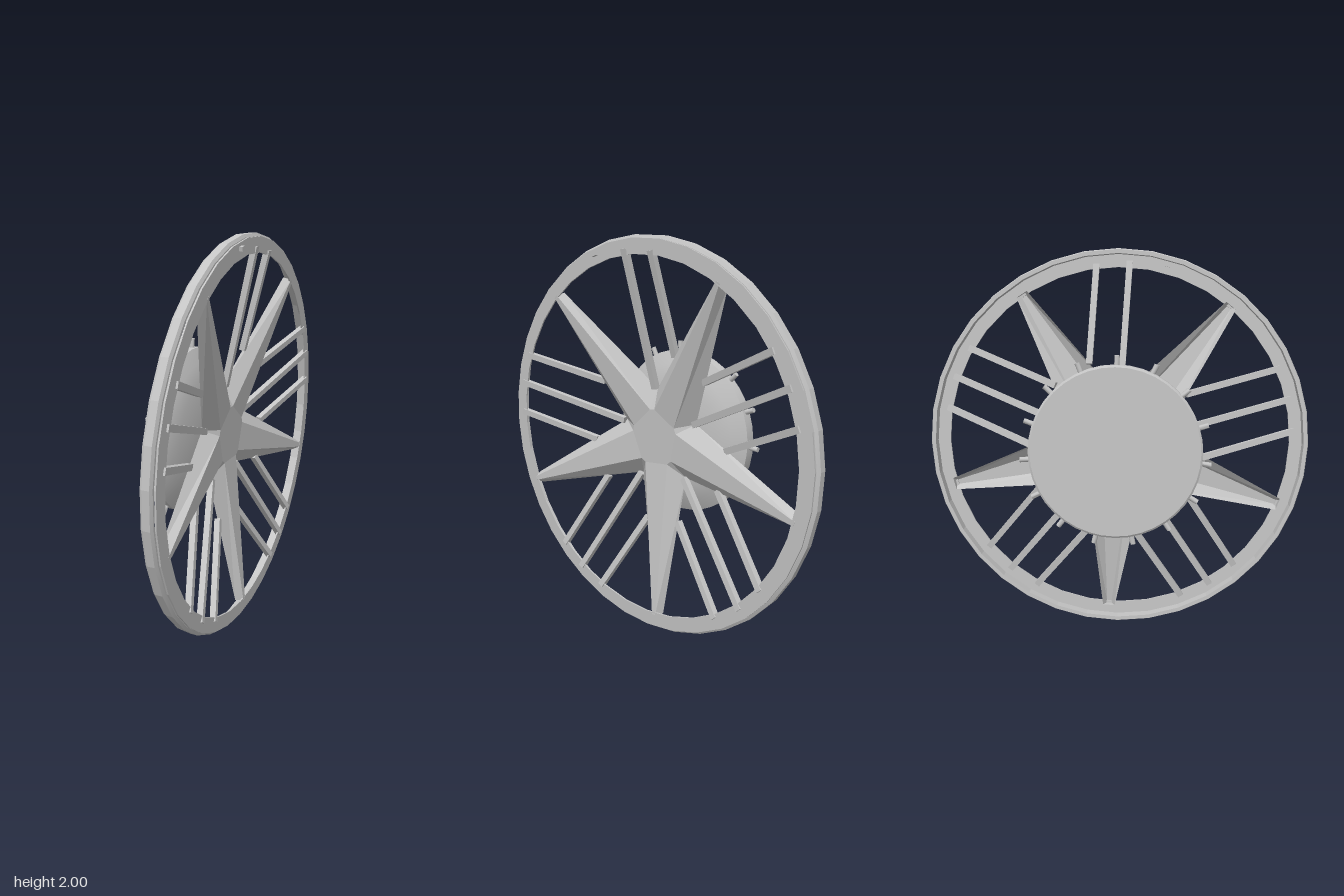
import * as THREE from 'three';
import { toCreasedNormals } from 'three/addons/utils/BufferGeometryUtils.js';

const DEG = Math.PI / 180;

// Wheel coordinates: angle from up towards -z, radius, and offset along the axle
const at = (deg, r, u) => new THREE.Vector3(u, r * Math.cos(deg * DEG), -r * Math.sin(deg * DEG));

// Lathe around the axle (x); profile is [radius, axle offset]
function ring(profile, segments, crease) {
  const pts = profile.map(([r, u]) => new THREE.Vector2(r, u));
  const g = new THREE.LatheGeometry(pts, segments);
  g.rotateZ(-Math.PI / 2);
  return toCreasedNormals(g, crease);
}

// Bar with a rectangular section between two points, kept square to the wheel plane
function bar(a, b, width, depth) {
  const dir = b.clone().sub(a);
  const g = new THREE.BoxGeometry(depth, dir.length(), width);
  const y = dir.clone().normalize();
  const z = new THREE.Vector3(1, 0, 0).cross(y).normalize();
  const x = y.clone().cross(z);
  const m = new THREE.Matrix4().makeBasis(x, y, z);
  m.setPosition(a.clone().add(b).multiplyScalar(0.5));
  return g.applyMatrix4(m);
}

// Flat-shaded shell from quads of points
function shell(quads) {
  const pts = [];
  for (const [a, b, c, d] of quads) pts.push(a, b, c, a, c, d);
  const g = new THREE.BufferGeometry().setFromPoints(pts);
  g.computeVertexNormals();
  return g;
}

export function createModel() {
  const metal = new THREE.MeshStandardMaterial({ color: 0xc4c4c4, side: THREE.DoubleSide });
  metal.name = 'light grey metal';

  const model = new THREE.Group();
  model.name = 'wheel';
  const wheel = new THREE.Group();
  wheel.name = 'tiltedWheel';
  wheel.position.set(0.125, 1, 0);
  wheel.rotation.set(0, -0.02, -0.048);
  model.add(wheel);

  const add = (name, geometry) => {
    const mesh = new THREE.Mesh(geometry, metal);
    mesh.name = name;
    wheel.add(mesh);
  };

  // Outer hoop, and the flat ring standing just in front of it
  add('outerHoop', ring([[0.975, -0.032], [0.995, -0.032], [1, -0.022], [1, 0.012], [0.985, 0.02], [0.975, 0.02], [0.975, -0.032]], 36, 0.1));
  add('innerRing', ring([[0.91, 0.026], [0.985, 0.026], [0.985, 0.034], [0.91, 0.034], [0.91, 0.026]], 36, 0.1));

  // Five-armed star: flat pentagon hub, each arm a hollow tapering channel
  const hub = [];
  for (let k = 0; k < 5; k++) {
    const tip = 33 + 72 * k, v0 = tip - 36, v1 = tip + 36;
    const p0 = at(v0, 0.16, -0.07), p1 = at(v1, 0.16, -0.07);
    const b0 = at(v0, 0.25, -0.125), b1 = at(v1, 0.25, -0.125);
    const t0 = at(tip - 0.7, 0.92, 0.035), t1 = at(tip + 0.7, 0.92, 0.035);
    const e0 = at(tip - 2, 0.92, -0.005), e1 = at(tip + 2, 0.92, -0.005);
    // the ridge edges sit slightly inside the hub corners
    const q0 = p0.clone().lerp(p1, 0.1), q1 = p1.clone().lerp(p0, 0.1);
    hub.push(q0, q1);
    add('starArm', shell([
      [q0, t0, t1, q1],
      [b0, e0, t0, q0],
      [q1, t1, e1, b1],
      [t0, e0, e1, t1],
    ]));
  }
  const centre = at(0, 0, -0.07);
  const hubFaces = [], corners = [];
  for (let i = 0; i < 10; i += 2) {
    hubFaces.push([centre, hub[i], hub[i + 1], hub[(i + 2) % 10]]);
    const valley = at(69 + 36 * i, 0.25, -0.125);
    corners.push([hub[i + 1], valley, valley, hub[(i + 2) % 10]]);
  }
  add('starHub', shell(hubFaces));
  add('starCorners', shell(corners));

  // Three parallel spokes in each gap; one is missing next to the top
  for (let k = 0; k < 5; k++) {
    const a = 72 * k - 3.5;
    const side = at(a + 90, 1, 0);
    for (const s of [-1, 0, 1]) {
      if (k === 0 && s === -1) continue;
      const start = at(a, s ? 0.41 : 0.25, s ? -0.088 : -0.11).addScaledVector(side, s * 0.17);
      const end = at(a, s ? 0.915 : 0.94, 0.028).addScaledVector(side, s * 0.17);
      add('spoke', bar(start, end, 0.032, 0.03));
    }
  }
  // Stub left where the missing spoke met the ring
  add('spokeStub', bar(at(-15.3, 0.945, 0.035), at(-15.3, 0.965, 0.035), 0.03, 0.03));

  // Domed drum behind the star
  add('drum', ring([[0, -0.335], [0.42, -0.335], [0.43, -0.328], [0.43, -0.278],
    [0.36, -0.245], [0.28, -0.22], [0, -0.217]], 40, 0.6));

  // Fifteen bolts around the drum
  for (let i = 0; i < 15; i++) {
    const bolt = new THREE.CylinderGeometry(0.013, 0.013, 0.06, 8);
    bolt.translate(0, 0.445, 0);
    bolt.rotateX(-(24 * i - 1) * DEG);
    bolt.translate(-0.305, 0, 0);
    add('bolt', toCreasedNormals(bolt, 0.9));
  }
  return model;
}
